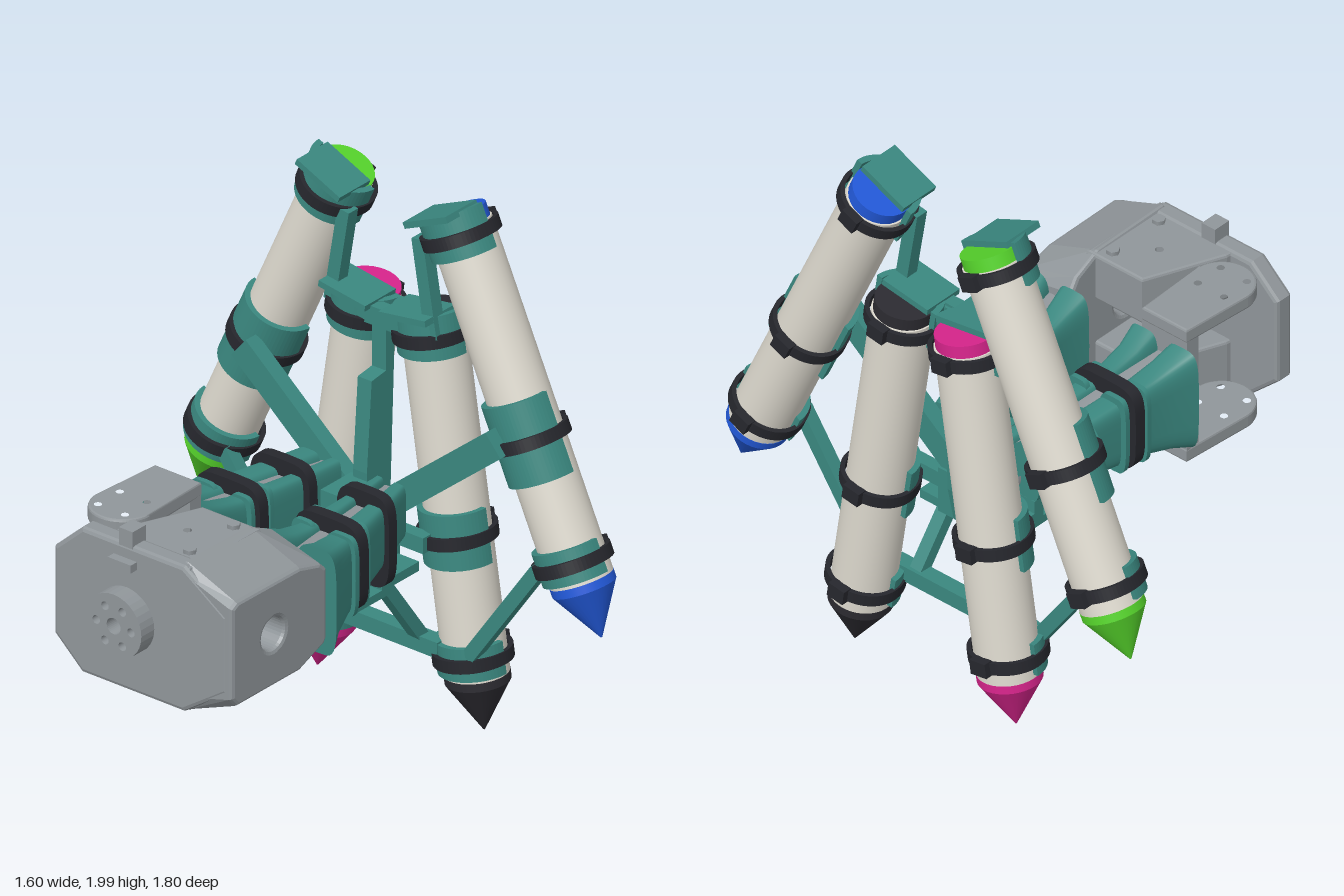
import * as THREE from 'three';

const mat = (name, color) => {
  const m = new THREE.MeshStandardMaterial({ color });
  m.name = name;
  return m;
};

export function createModel() {
  const root = new THREE.Group();
  root.name = 'penHolderGripper';
  const teal = mat('teal', 0x3a877f), ivory = mat('ivory', 0xdedacf), grey = mat('grey', 0x90969a);
  const strap = mat('strapBlack', 0x26272d), black = mat('penBlack', 0x2c2b31);
  const blue = mat('penBlue', 0x2259d9), pink = mat('penPink', 0xd6248b), green = mat('penGreen', 0x55d22b);

  const add = (parent, name, geo, material, x = 0, y = 0, z = 0) => {
    const m = new THREE.Mesh(geo, material);
    m.name = name;
    m.position.set(x, y, z);
    parent.add(m);
    return m;
  };
  // Box given by its low and high corners
  const block = (parent, name, material, [x0, x1], [y0, y1], [z0, z1]) =>
    add(parent, name, new THREE.BoxGeometry(x1 - x0, y1 - y0, z1 - z0), material,
      (x0 + x1) / 2, (y0 + y1) / 2, (z0 + z1) / 2);
  // Rectangular strut between two points
  const strut = (name, a, b, w, h) => {
    const A = new THREE.Vector3(...a), B = new THREE.Vector3(...b);
    const m = new THREE.Mesh(new THREE.BoxGeometry(w, h, A.distanceTo(B)), teal);
    m.name = name;
    m.position.copy(A).lerp(B, 0.5);
    m.lookAt(B);
    root.add(m);
  };
  const poly = pts => new THREE.Shape(pts.map(p => new THREE.Vector2(...p)));
  const hole = (shape, x, y, r) => {
    const p = new THREE.Path();
    p.absarc(x, y, r, 0, Math.PI * 2, true);
    shape.holes.push(p);
  };
  const extrude = (shape, depth, bevel = 0) => new THREE.ExtrudeGeometry(shape, {
    depth: depth - 2 * bevel, curveSegments: 16, bevelEnabled: bevel > 0, bevelSegments: 2,
    bevelSize: bevel, bevelThickness: bevel, bevelOffset: -bevel,
  }).translate(0, 0, bevel);
  // Loft of rounded rectangles along x; each section is [x, y0, y1, z0, z1]
  const loft = sections => {
    const n = 32, pos = [], idx = [];
    const ring = ([x, y0, y1, z0, z1]) => {
      for (let i = 0; i < n; i++) {
        const t = i / n * Math.PI * 2, c = Math.cos(t), s = Math.sin(t);
        const y = Math.sign(c) * Math.abs(c) ** 0.45, z = Math.sign(s) * Math.abs(s) ** 0.45;
        pos.push(x, (y0 + y1) / 2 + y * (y1 - y0) / 2, (z0 + z1) / 2 + z * (z1 - z0) / 2);
      }
    };
    sections.forEach(ring);
    for (let k = 0; k < sections.length - 1; k++) for (let i = 0; i < n; i++) {
      const a = k * n + i, b = k * n + (i + 1) % n;
      idx.push(a, b, a + n, b, b + n, a + n);
    }
    [sections[0], sections[sections.length - 1]].forEach((s, end) => {
      const o = pos.length / 3;
      ring(s);
      for (let i = 1; i < n - 1; i++) idx.push(o, o + (end ? i : i + 1), o + (end ? i + 1 : i));
    });
    const g = new THREE.BufferGeometry();
    g.setAttribute('position', new THREE.Float32BufferAttribute(pos, 3));
    g.setIndex(idx);
    g.computeVertexNormals();
    return g;
  };

  // Pen with cradles, straps and end stop, built upward from its tip
  const cradleShape = new THREE.Shape();
  cradleShape.absarc(0, 0, 0.132, Math.PI / 2, Math.PI * 1.5, false);
  cradleShape.absarc(0, 0, 0.11, Math.PI * 1.5, Math.PI / 2, true);
  const loop = (path, d) => {
    path.absellipse(0, 0, 0.127 - d, 0.138 - d, -Math.PI / 2, Math.PI / 2, false, 0);
    path.absellipse(0, 0, 0.153 - d, 0.138 - d, Math.PI / 2, Math.PI * 1.5, false, 0);
    return path;
  };
  const strapShape = loop(new THREE.Shape(), 0);
  strapShape.holes.push(loop(new THREE.Path(), 0.016));
  const ringUp = (shape, h) => extrude(shape, h).rotateX(-Math.PI / 2);

  const pen = (name, colour, y, z, tilt, midHalf) => {
    const g = new THREE.Group();
    g.name = name;
    g.position.set(0.652, y, z);
    g.rotation.x = tilt;
    const tube = (part, r1, r0, y0, y1, m) =>
      add(g, part, new THREE.CylinderGeometry(r1, r0, y1 - y0, 32), m, 0, (y0 + y1) / 2, 0);
    tube('tip', 0.113, 0.003, 0, 0.18, colour);
    tube('tipCollar', 0.113, 0.113, 0.18, 0.21, colour);
    tube('barrel', 0.112, 0.112, 0.21, 1.49, ivory);
    tube('endCap', 0.106, 0.106, 1.49, 1.537, colour);
    for (const [at, lo, hi] of [[0.285, 0.06, 0.06], [0.73, midHalf, midHalf], [1.465, 0.07, 0.09]]) {
      add(g, 'cradle', ringUp(cradleShape, lo + hi), teal, 0, at - lo, 0);
      add(g, 'strap', ringUp(strapShape, 0.045), strap, 0, at - 0.022, 0);
      block(g, 'strapBuckle', strap, [0.11, 0.146], [at - 0.027, at + 0.028], [-0.035, 0.035]);
    }
    block(g, 'endStop', teal, [-0.152, 0.01], [1.54, 1.563], [-0.103, 0.1]);
    root.add(g);
  };
  pen('bluePen', blue, 0.53, 0.87, -0.423, 0.145);
  pen('greenPen', green, 0.53, -0.87, 0.423, 0.145);
  pen('blackPen', black, 0.01, 0.363, -0.149, 0.1);
  pen('pinkPen', pink, 0.01, -0.358, 0.149, 0.1);

  // Frame joining the cradles
  add(root, 'centreSpine', extrude(poly([[0.455, 0.6], [0.44, 0.95], [0.465, 1.29], [0.54, 1.3], [0.54, 1.52],
    [0.59, 1.52], [0.56, 0.74], [0.53, 0.6]]), 0.06), teal, 0, 0, -0.03);
  block(root, 'centreBlock', teal, [0.46, 0.53], [0.6, 0.78], [-0.1, 0.1]);
  block(root, 'spineFoot', teal, [0.3, 0.46], [0.82, 0.92], [-0.055, 0.055]);
  block(root, 'middleBar', teal, [0.48, 0.53], [0.7, 0.76], [-0.24, 0.24]);
  block(root, 'lowerBar', teal, [0.53, 0.59], [0.29, 0.35], [-0.26, 0.26]);
  block(root, 'topBar', teal, [0.53, 0.58], [1.46, 1.53], [-0.12, 0.12]);
  for (const s of [1, -1]) {
    strut('diagonalArm', [0.49, 0.8, 0.04 * s], [0.5, 1.22, 0.55 * s], 0.06, 0.1);
    strut('upperLink', [0.57, 1.84, 0.16 * s], [0.57, 1.48, 0.22 * s], 0.05, 0.05);
    strut('lowerLink', [0.56, 0.76, 0.68 * s], [0.56, 0.33, 0.38 * s], 0.05, 0.05);
    strut('legRod', [0.36, 0.62, 0.15 * s], [0.57, 0.32, 0.16 * s], 0.05, 0.045);
    block(root, 'crossFoot', teal, [0.36, 0.52], [0.605, 0.64], [Math.min(0, 0.19 * s), Math.max(0, 0.19 * s)]);
    // Slotted bracket under each finger
    const bracket = poly([[0.165, 0.58], [0.37, 0.58], [0.37, 0.69], [0.165, 0.69]]);
    bracket.holes.push(new THREE.Path([[0.21, 0.61], [0.21, 0.655], [0.325, 0.655], [0.325, 0.61]]
      .map(p => new THREE.Vector2(...p))));
    add(root, 'slottedBracket', extrude(bracket, 0.11), teal, 0, 0, s > 0 ? 0.08 : -0.19);
    block(root, 'bracketPost', teal, [0.2, 0.35], [0.68, 0.79], s > 0 ? [0.09, 0.18] : [-0.18, -0.09]);
  }

  // Finger sleeves: two flared shells around a grey core, held by straps
  const heights = [[-0.23, 0.665, 1.06], [-0.15, 0.69, 1.025], [-0.05, 0.712, 1.0], [0.1, 0.73, 0.985],
    [0.27, 0.745, 0.97], [0.44, 0.76, 0.96]];
  const finger = (name, inner, outer, seam) => {
    const g = new THREE.Group();
    g.name = name;
    const at = (pair, x) => THREE.MathUtils.lerp(pair[0], pair[1], (x + 0.23) / 0.67);
    const flare = x => 0.03 * Math.max(0, (-0.05 - x) / 0.18) ** 2;
    const span = (a, b) => a < b ? [a, b] : [b, a];
    const out = Math.sign(seam[0]);
    const shell = (edge, side) => heights.map(([x, y0, y1]) => [x, y0, y1, ...span(
      at(edge, x) + side * (flare(x) - 0.015), at(seam, x) + side * 0.016)]);
    add(g, 'outerShell', loft(shell(outer, out)), teal);
    add(g, 'innerShell', loft(shell(inner, -out)), teal);
    add(g, 'fingerCore', loft([[-0.26, 0.7, 1.0, ...span(at(seam, -0.26) - 0.05, at(seam, -0.26) + 0.05)],
      [0.45, 0.79, 0.93, ...span(seam[1] - 0.035, seam[1] + 0.035)]]), grey);
    const wrap = (part, x, w, y0, y1, pad, m) => {
      const z = span(at(inner, x), at(outer, x));
      add(g, part, loft([x - w / 2, x + w / 2].map(v => [v, y0, y1, z[0] - pad, z[1] + pad])), m);
    };
    for (const x of [-0.025, 0.07]) {
      for (const [edge, side] of [[inner, -out], [outer, out]]) {
        add(g, 'sleeveRib', loft([x - 0.01, x + 0.01].map(v => [v, 0.705, 1.01, ...span(
          at(edge, x) + side * 0.005, at(seam, x) + side * 0.025)])), teal);
      }
    }
    wrap('rearFingerStrap', 0.022, 0.046, 0.7, 1.033, 0.012, strap);
    wrap('frontFingerStrap', 0.27, 0.042, 0.665, 1.012, 0.012, strap);
    root.add(g);
  };
  finger('frontFinger', [0.115, 0.05], [0.435, 0.215], [0.26, 0.12]);
  finger('backFinger', [-0.09, -0.065], [-0.375, -0.285], [-0.225, -0.155]);

  // Servo body: front housing with a through hole, tapering in height towards the front
  const housing = poly([[-0.73, 0.64], [-0.7, 0.58], [-0.37, 0.58], [-0.24, 0.67], [-0.23, 0.7], [-0.23, 1.04],
    [-0.26, 1.09], [-0.37, 1.145], [-0.7, 1.15], [-0.73, 1.12]]);
  hole(housing, -0.51, 0.865, 0.06);
  const housingGeo = extrude(housing, 0.23, 0.015);
  const p = housingGeo.attributes.position;
  for (let i = 0; i < p.count; i++) {
    const d = p.getY(i) - 0.865, far = Math.max(0, Math.abs(d) - 0.08);
    if (far > 0) p.setY(i, 0.865 + Math.sign(d) * (0.08 + far * (1 - 0.45 * p.getZ(i) / 0.23)));
  }
  housingGeo.computeVertexNormals();
  add(root, 'servoHousing', housingGeo, grey, 0, 0, 0.18);
  // Sloped cheeks behind the housing (shape y is -z)
  const cheek = poly([[-0.72, 0.16], [-0.64, 0.15], [-0.35, 0.03], [-0.35, -0.22], [-0.72, -0.22]]);
  hole(cheek, -0.515, -0.04, 0.025);
  for (const [y, h] of [[0.95, 0.185], [0.595, 0.18]])
    add(root, 'servoCheek', extrude(cheek, h, 0.01).rotateX(-Math.PI / 2), grey, 0, y, 0);
  for (const x of [-0.63, -0.4])
    add(root, 'screwBoss', new THREE.CylinderGeometry(0.024, 0.024, 0.02, 6), grey, x, 1.14, 0.145);

  // End panel and drilled round flange (shape x is -z)
  const panel = poly([[-0.39, 0.72], [-0.2, 0.59], [0.24, 0.59], [0.36, 0.7], [0.36, 1.03], [0.24, 1.14],
    [-0.2, 1.14], [-0.39, 1.01]]);
  add(root, 'endPanel', extrude(panel, 0.075, 0.015).rotateY(Math.PI / 2), grey, -0.732, 0, 0);
  const flange = new THREE.Shape();
  flange.absarc(0, 0, 0.12, 0, Math.PI * 2, false);
  hole(flange, 0, 0, 0.03);
  for (let i = 0; i < 6; i++) hole(flange, 0.075 * Math.cos(i * Math.PI / 3), 0.075 * Math.sin(i * Math.PI / 3), 0.016);
  add(root, 'roundFlange', extrude(flange, 0.075).rotateY(Math.PI / 2), grey, -0.8, 0.86, -0.045);
  block(root, 'panelTab', grey, [-0.73, -0.66], [1.1, 1.195], [-0.08, -0.02]);
  block(root, 'panelLug', grey, [-0.765, -0.7], [1.06, 1.09], [-0.1, 0]);

  // C bracket of the rear finger: two drilled lobes and an end plate
  const lobe = new THREE.Shape();
  lobe.moveTo(-0.23, 0.135);
  lobe.lineTo(-0.52, 0.125);
  lobe.absarc(-0.515, 0.24, 0.117, -Math.PI / 2, Math.PI / 2, true);
  lobe.lineTo(-0.23, 0.335);
  for (const x of [-0.57, -0.455]) for (const y of [0.185, 0.302]) hole(lobe, x, y, 0.022);
  for (const y of [1.085, 0.59])
    add(root, 'bracketLobe', extrude(lobe, 0.055, 0.008).rotateX(-Math.PI / 2), grey, 0, y, 0);
  block(root, 'bracketEndPlate', grey, [-0.29, -0.232], [0.6, 1.13], [-0.335, -0.135]);
  return root;
}
